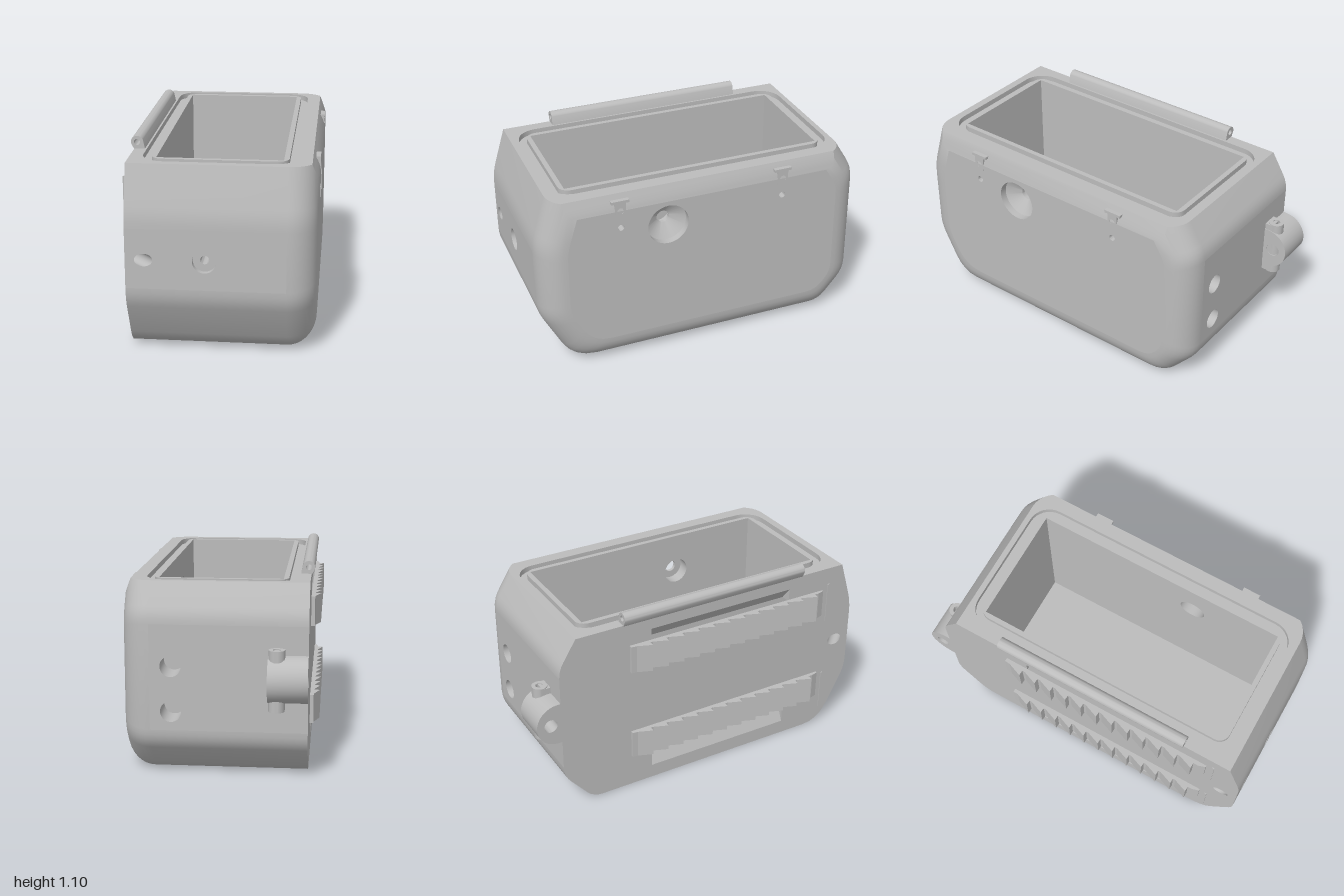
import * as THREE from 'three';
import { toCreasedNormals } from 'three/addons/utils/BufferGeometryUtils.js';

const grey = new THREE.MeshStandardMaterial({ color: 0xbcbcbc, side: THREE.DoubleSide });
grey.name = 'grey plastic';

const LEFT = 0.51, RIGHT = -0.46, TOP = 1.03, R = 0.15;

// Body outline as [z, y, corner softness], starting at the front top edge
const CORNERS = [
  [0.92, 1.03, 0], [1.0, 0.77, 0.06], [1.0, 0.33, 0.06], [0.828, 0, 0.11],
  [-0.69, 0, 0.06], [-0.86, 0.2, 0.06], [-0.86, 0.87, 0.05], [-0.76, 1.03, 0],
];
const FRONT_SEG = 5, BACK_SEG = 25, TOP_SEG = 31;

// Outline moved inward by d (the top edge sits at height top instead)
function section(x, d, top) {
  const n = CORNERS.length;
  const P = CORNERS.map(c => new THREE.Vector2(c[0], c[1]));
  const edges = P.map((p, i) => {
    const dir = P[(i + 1) % n].clone().sub(p).normalize();
    const from = i === n - 1
      ? new THREE.Vector2(p.x, top)
      : p.clone().add(new THREE.Vector2(dir.y, -dir.x).multiplyScalar(d));
    return { from, dir };
  });
  const Q = edges.map((b, i) => {
    const a = edges[(i + n - 1) % n];
    const t = b.from.clone().sub(a.from).cross(b.dir) / a.dir.cross(b.dir);
    return a.from.clone().addScaledVector(a.dir, t);
  });
  const ring = [];
  Q.forEach((q, i) => {
    const L = CORNERS[i][2];
    if (!L) { ring.push([x, q.y, q.x]); return; }
    const s = q.clone().addScaledVector(edges[(i + n - 1) % n].dir, -L);
    const e = q.clone().addScaledVector(edges[i].dir, L);
    new THREE.QuadraticBezierCurve(s, q, e).getPoints(4).forEach(p => ring.push([x, p.y, p.x]));
  });
  return ring;
}

// Skin over closed rings of points; skip(k, i) leaves a gap
function loft(rings, skip = () => false) {
  const n = rings[0].length, index = [];
  for (let k = 0; k < rings.length - 1; k++) {
    for (let i = 0; i < n; i++) {
      if (skip(k, i)) continue;
      const a = k * n + i, b = k * n + (i + 1) % n;
      index.push(a, b, b + n, a, b + n, a + n);
    }
  }
  const g = new THREE.BufferGeometry();
  g.setAttribute('position', new THREE.Float32BufferAttribute(rings.flat(2), 3));
  g.setIndex(index);
  return toCreasedNormals(g.toNonIndexed(), 0.5);
}

const vecs = pts => pts.map(p => new THREE.Vector2(p[0], p[1]));
const rect = (u0, u1, v0, v1) => [[u0, v0], [u1, v0], [u1, v1], [u0, v1]];
const ellipse = (u, v, ru, rv = ru, n = 32) => Array.from({ length: n }, (_, i) => {
  const a = i / n * Math.PI * 2;
  return [u + ru * Math.cos(a), v + rv * Math.sin(a)];
});
function roundRect(u0, u1, v0, v1, r) {
  const centres = [[u1 - r, v1 - r], [u0 + r, v1 - r], [u0 + r, v0 + r], [u1 - r, v0 + r]];
  return centres.flatMap((c, q) => Array.from({ length: 9 }, (_, i) => {
    const a = (q + i / 8) * Math.PI / 2;
    return [c[0] + r * Math.cos(a), c[1] + r * Math.sin(a)];
  }));
}
function shapeOf(outline, holes = []) {
  const s = new THREE.Shape(vecs(outline));
  holes.forEach(h => s.holes.push(new THREE.Path(vecs(h))));
  return s;
}
// Flat face placed by map(u, v) and turned to face along normal
function plate(outline, holes, map, normal) {
  const g = new THREE.ShapeGeometry(shapeOf(outline, holes));
  const p = g.attributes.position;
  for (let i = 0; i < p.count; i++) p.setXYZ(i, ...map(p.getX(i), p.getY(i)));
  g.computeVertexNormals();
  const m = g.attributes.normal;
  if (new THREE.Vector3(m.getX(0), m.getY(0), m.getZ(0)).dot(new THREE.Vector3(...normal)) < 0) {
    g.index.array.reverse();
    g.computeVertexNormals();
  }
  return g;
}
// Extrusion along x of a [z, y] outline
function extrudeX(outline, holes, x0, x1) {
  const flip = pts => pts.map(p => [-p[0], p[1]]);
  const g = new THREE.ExtrudeGeometry(shapeOf(flip(outline), holes.map(flip)), { depth: x1 - x0, bevelEnabled: false });
  return toCreasedNormals(g.rotateY(Math.PI / 2).translate(x0, 0, 0), 0.5);
}
const bore = pts => toCreasedNormals(new THREE.LatheGeometry(vecs(pts), 32), 0.5);
const onX = x => (z, y) => [x, y, z];
const onY = y => (x, z) => [x, y, z];
const onZ = z => (x, y) => [x, y, z];

export function createModel() {
  const model = new THREE.Group();
  const add = (name, g) => {
    const m = new THREE.Mesh(g, grey);
    m.name = name;
    model.add(m);
    return m;
  };

  // Outer skin with the rounded left end
  const rings = [section(RIGHT, 0, TOP)];
  for (let k = 0; k <= 9; k++) {
    const a = k * Math.PI / 18, x = LEFT - R + R * Math.sin(a);
    rings.push(section(x, R * (1 - Math.cos(a)), TOP - 0.09 * Math.max(0, (x - 0.475) / 0.035)));
  }
  const rimRing = 6;
  add('bodySkin', loft(rings, (k, i) =>
    (k === 0 && (i === FRONT_SEG || i === BACK_SEG)) || (k < rimRing && i === TOP_SEG)));

  // Flat panels with their holes
  const x1 = LEFT - R;
  const tunnelFront = ellipse(-0.365, 0.545, 0.047, 0.034);
  const panel = seg => rect(RIGHT, x1, rings[0][seg][1], rings[0][seg + 1][1]);
  add('frontPanel', plate(panel(FRONT_SEG), [tunnelFront, ellipse(-0.055, 0.545, 0.062)], onZ(1), [0, 0, 1]));
  add('backPanel', plate(panel(BACK_SEG), [0.36, 0.6].map(y => ellipse(0.25, y, 0.055)), onZ(-0.86), [0, 0, -1]));
  const zy = ring => ring.map(p => [p[2], p[1]]);
  const screwZ = [0.555, -0.375];
  add('leftPanel', plate(zy(rings[rings.length - 1]),
    [ellipse(0.29, 0.8, 0.115), ...screwZ.map(z => ellipse(z, 0.84, 0.018))], onX(LEFT), [1, 0, 0]));
  const slots = [[0.965, 0.89], [0.08, 0.205]];
  add('rightPanel', plate(zy(rings[0]), [
    ellipse(0.905, 0.545, 0.047, 0.034),
    ...slots.map(s => rect(-0.32, 0.56, Math.min(...s), Math.max(...s))),
  ], onX(RIGHT), [-1, 0, 0]));

  // Top rim, seal groove and inner lip
  const rim = rings.slice(0, rimRing + 1);
  const rimOutline = [...rim.map(r => [r[0][0], r[0][2]]),
    ...rim.map(r => [r[TOP_SEG][0], r[TOP_SEG][2]]).reverse()];
  const grooveOut = roundRect(-0.394, 0.4, -0.73, 0.875, 0.12);
  const grooveIn = roundRect(-0.347, 0.357, -0.683, 0.827, 0.06);
  const mouth = rect(-0.32, 0.33, -0.655, 0.8);
  add('topRim', plate(rimOutline, [grooveOut], onY(TOP), [0, 1, 0]));
  add('grooveFloor', plate(grooveOut, [grooveIn], onY(TOP - 0.03), [0, 1, 0]));
  add('innerLip', plate(grooveIn, [mouth], onY(TOP), [0, 1, 0]));
  const ringAt = (pts, y) => pts.map(p => [p[0], y, p[1]]);
  add('grooveOuterWall', loft([ringAt(grooveOut, TOP), ringAt(grooveOut, TOP - 0.03)]));
  add('grooveInnerWall', loft([ringAt(grooveIn, TOP - 0.03), ringAt(grooveIn, TOP)]));

  // Cavity
  const floor = 0.12;
  add('cavityFloor', plate(mouth, [], onY(floor), [0, 1, 0]));
  add('cavityLeftWall', plate(rect(-0.655, 0.8, floor, TOP), [ellipse(0.29, 0.8, 0.075)], onX(0.33), [-1, 0, 0]));
  add('cavityRightWall', plate(rect(-0.655, 0.8, floor, TOP), [], onX(-0.32), [1, 0, 0]));
  add('cavityFrontWall', plate(rect(-0.32, 0.33, floor, TOP), [], onZ(0.8), [0, 0, -1]));
  add('cavityBackWall', plate(rect(-0.32, 0.33, floor, TOP), [], onZ(-0.655), [0, 0, 1]));

  // Bores behind the holes
  add('sideRecess', bore([[0.075, 0.33], [0.075, 0.4], [0.035, 0.4], [0.035, 0.42], [0.115, 0.47], [0.115, LEFT]])
    .rotateZ(-Math.PI / 2).translate(0, 0.8, 0.29));
  add('frontRecess', bore([[0, 0.85], [0.023, 0.85], [0.023, 0.97], [0.062, 0.97], [0.062, 1]])
    .rotateX(Math.PI / 2).translate(-0.055, 0.545, 0));
  [0.36, 0.6].forEach(y => add('backBore', bore([[0, -0.7], [0.055, -0.7], [0.055, -0.86]])
    .rotateX(Math.PI / 2).translate(0.25, y, 0)));
  add('cordTunnel', loft([tunnelFront.map(p => [p[0], p[1], 1]),
    tunnelFront.map(p => [RIGHT, p[1], 1 - (p[0] - RIGHT)])]));

  // Latch catches with screw holes
  screwZ.forEach(z => {
    add('screwBore', bore([[0, 0.42], [0.018, 0.42], [0.018, LEFT]]).rotateZ(-Math.PI / 2).translate(0, 0.84, z));
    const tee = [[-0.03, 0.9], [0.03, 0.9], [0.03, 0.985], [0.05, 0.985], [0.05, 1], [-0.05, 1], [-0.05, 0.985], [-0.03, 0.985]];
    add('latchCatch', extrudeX(tee.map(p => [p[0] + z, p[1]]), [ellipse(z, 0.94, 0.018)], 0.47, LEFT + 0.001));
  });

  // Hinge barrel along the right edge
  const barrel = [[-0.403, 1.025], ...ellipse(-0.445, 1.065, 0.033).slice(1, 18), [-0.46, 1.025]];
  add('hingeBarrel', toCreasedNormals(new THREE.ExtrudeGeometry(
    shapeOf(barrel, [ellipse(-0.445, 1.065, 0.016)]), { depth: 1.13, bevelEnabled: false }), 0.5).translate(0, 0, -0.485));

  // Back lug with a cross pin hole and a vertical screw post
  const arc = ellipse(-0.88, 0.55, 0.12).slice(8, 25);
  add('lug', extrudeX([[-0.85, 0.67], ...arc, [-0.85, 0.43]], [ellipse(-0.92, 0.55, 0.038)], RIGHT, -0.255));
  add('screwPost', bore([[0.02, 0.66], [0.02, 0.71], [0.042, 0.71], [0.042, 0.39], [0.02, 0.39], [0.02, 0.44]])
    .translate(-0.3, 0, -0.905));
  add('postWeb', new THREE.BoxGeometry(0.084, 0.31, 0.05).translate(-0.3, 0.55, -0.88));

  // Saw-toothed racks on the right side
  const rack = [[RIGHT, -0.45], [-0.48, -0.45]];
  for (let i = 0; i < 12; i++) {
    const tip = -0.34 + i * 0.0965;
    rack.push([-0.482, tip - 0.08], [-0.512, tip], [-0.482, tip + 0.002]);
  }
  rack.push([-0.482, 0.75], [-0.47, 0.79], [RIGHT, 0.79]);
  [0.195, 0.74].forEach(y => {
    const g = new THREE.ExtrudeGeometry(shapeOf(rack.map(p => [p[0], -p[1]])), { depth: 0.16, bevelEnabled: false });
    add('toothedRack', g.rotateX(-Math.PI / 2).translate(0, y, 0));
  });
  [0.22, 0.81].forEach(y => add('endRib', new THREE.BoxGeometry(0.01, 0.24, 0.012).translate(RIGHT, y, 0.83)));

  // Sloped slots beside the racks
  slots.forEach(([outer, inner]) => {
    add('slotSlope', plate(rect(-0.32, 0.56, 0, 1), [],
      (z, t) => [RIGHT + 0.06 * t, outer + (inner - outer) * t, z], [-1, 0, 0]));
    [-0.32, 0.56].forEach(z => add('slotEnd', plate([[RIGHT, outer], [RIGHT + 0.06, inner], [RIGHT, inner]],
      [], onZ(z), [0, 0, z < 0 ? 1 : -1])));
  });

  return model;
}
